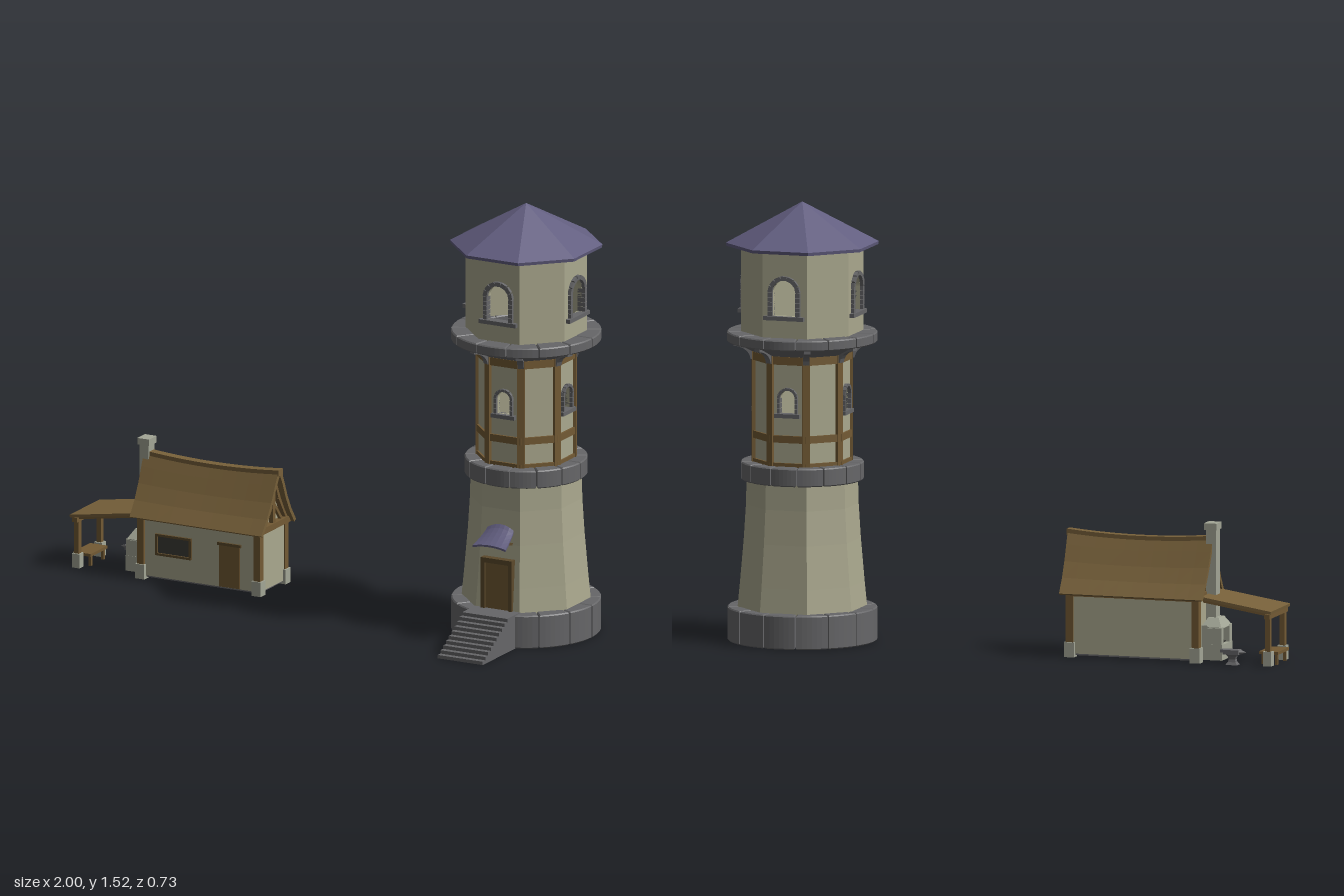
import * as THREE from 'three';

const mat = (color) => new THREE.MeshStandardMaterial({ color, flatShading: true, side: THREE.DoubleSide });
const plaster = mat(0xaaa88e), stone = mat(0x666668), wood = mat(0x735a34), darkWood = mat(0x5c4a2c);
const purple = mat(0x625e80), thatch = mat(0x78613a), paleStone = mat(0xa3a696), dark = mat(0x3c3c38);

function add(parent, name, geo, material, x = 0, y = 0, z = 0) {
  const m = new THREE.Mesh(geo, material);
  m.name = name;
  m.position.set(x, y, z);
  parent.add(m);
  return m;
}
// box given by its limits
function block(parent, name, material, x0, x1, y0, y1, z0, z1) {
  return add(parent, name, new THREE.BoxGeometry(x1 - x0, y1 - y0, z1 - z0), material, (x0 + x1) / 2, (y0 + y1) / 2, (z0 + z1) / 2);
}
// bar between two points in a plane of constant x
function bar(parent, name, material, x, y0, z0, y1, z1, w) {
  const m = add(parent, name, new THREE.BoxGeometry(w, Math.hypot(y1 - y0, z1 - z0), w), material, x, (y0 + y1) / 2, (z0 + z1) / 2);
  m.rotation.x = Math.atan2(z1 - z0, y1 - y0);
}
const v2 = (list) => list.map(([a, b]) => new THREE.Vector2(a, b));
const TAN = Math.tan(Math.PI / 8), COS = Math.cos(Math.PI / 8);
// eight-sided turned body; profile is [apothem, y]
const octagon = (profile) => new THREE.LatheGeometry(v2(profile.map(([r, y]) => [r / COS, y])), 8, Math.PI / 8);

// ring of bevelled curved stones
function stoneRing(parent, name, n, rIn, rOut, y0, y1) {
  const ring = new THREE.Group(), b = 0.004, half = Math.PI / n - 0.006 / rOut;
  ring.name = name;
  const s = new THREE.Shape();
  s.absarc(0, 0, rOut - b, -half, half, false);
  s.absarc(0, 0, rIn, half, -half, true);
  const geo = new THREE.ExtrudeGeometry(s, { depth: y1 - y0 - 2 * b, bevelSize: b, bevelThickness: b, bevelSegments: 1, curveSegments: 3 });
  geo.rotateX(-Math.PI / 2);
  for (let i = 0; i < n; i++) add(ring, 'ringStone', geo, stone, 0, y0 + b, 0).rotation.y = ((i + 0.5) / n) * Math.PI * 2;
  parent.add(ring);
}

// arched outline: half width w, from sill to spring line
function arch(path, w, sill, spring) {
  path.moveTo(-w, sill);
  path.lineTo(w, sill);
  path.lineTo(w, spring);
  path.absarc(0, spring, w, 0, Math.PI, false);
  path.lineTo(-w, sill);
  return path;
}

// eight wall panels, every second one with an arched window
function windowStorey(parent, name, a, y0, y1, win) {
  const storey = new THREE.Group(), t = 0.016, hw = a * TAN;
  storey.name = name;
  for (let i = 0; i < 8; i++) {
    const side = new THREE.Group();
    side.name = 'wallSide';
    side.rotation.y = i * Math.PI / 4;
    const s = new THREE.Shape(v2([[-hw, y0], [hw, y0], [hw, y1], [-hw, y1]]));
    if (i % 2 === 0) {
      const { w, sill, spring, f, n } = win;
      s.holes.push(arch(new THREE.Path(), w, sill, spring));
      block(side, 'windowSill', stone, -w - f * 2, w + f * 2, sill - 0.014, sill, a - t, a + 0.016);
      const h = (spring - sill) / n;
      for (const k of [-1, 1]) for (let j = 0; j < n; j++)
        add(side, 'jambStone', new THREE.BoxGeometry(f, h * 0.9, t + 0.012), stone, k * (w + f / 2), sill + (j + 0.5) * h, a - 0.002);
      for (let j = 0; j < 7; j++) {
        const g = (j + 0.5) * Math.PI / 7, r = w + f / 2;
        add(side, 'archStone', new THREE.BoxGeometry(f, r * 0.43, t + 0.012), stone, r * Math.cos(g), spring + r * Math.sin(g), a - 0.002).rotation.z = g;
      }
    }
    add(side, 'wallPanel', new THREE.ExtrudeGeometry(s, { depth: t, bevelEnabled: false, curveSegments: 10 }), plaster, 0, 0, a - t);
    storey.add(side);
  }
  parent.add(storey);
}

function buildTower() {
  const t = new THREE.Group();
  t.name = 'tower';
  // foot and tapered lower storey
  stoneRing(t, 'baseRing', 14, 0.185, 0.257, 0, 0.117);
  add(t, 'lowerWall', octagon([[0.207, 0.1], [0.198, 0.2], [0.186, 0.35], [0.179, 0.47], [0.176, 0.6]]), plaster);
  add(t, 'groundFloor', octagon([[0, 0.1], [0.205, 0.1]]), plaster);
  stoneRing(t, 'middleRing', 14, 0.14, 0.211, 0.557, 0.62);
  // timbered middle storey
  const a = 0.155;
  windowStorey(t, 'middleStorey', a, 0.6, 1.03, { w: 0.027, sill: 0.803, spring: 0.857, f: 0.009, n: 3 });
  for (let i = 0; i < 8; i++) {
    const side = new THREE.Group();
    side.name = 'timberSide';
    side.rotation.y = i * Math.PI / 4;
    for (const [y0, y1] of [[0.617, 0.632], [0.702, 0.727], [0.972, 1.0]])
      block(side, 'timberRail', wood, -a * TAN, a * TAN, y0, y1, a - 0.01, a + 0.007);
    const corner = new THREE.Group();
    corner.name = 'timberCorner';
    corner.rotation.y = Math.PI / 8;
    block(corner, 'timberPost', wood, -0.013, 0.013, 0.61, 1.01, a / COS - 0.018, a / COS + 0.006);
    // curved stone bracket below the gallery
    const s = new THREE.Shape();
    s.moveTo(0.15, 0.975);
    s.lineTo(0.178, 0.975);
    s.quadraticCurveTo(0.185, 1.015, 0.238, 1.022);
    s.lineTo(0.238, 1.04);
    s.lineTo(0.15, 1.04);
    const geo = new THREE.ExtrudeGeometry(s, { depth: 0.022, bevelEnabled: false, curveSegments: 5 });
    geo.translate(0, 0, -0.011).rotateY(-Math.PI / 2);
    add(corner, 'galleryBracket', geo, stone);
    side.add(corner);
    t.add(side);
  }
  // gallery and top storey
  add(t, 'galleryFlare', octagon([[0.157, 0.998], [0.175, 1.008], [0.2, 1.022], [0.228, 1.036]]), stone);
  stoneRing(t, 'galleryRing', 14, 0.18, 0.258, 1.034, 1.07);
  add(t, 'galleryFloor', octagon([[0, 1.05], [0.195, 1.05]]), stone);
  windowStorey(t, 'topStorey', 0.194, 1.06, 1.37, { w: 0.042, sill: 1.146, spring: 1.228, f: 0.015, n: 5 });
  add(t, 'towerRoof', octagon([[0, 1.366], [0.241, 1.366], [0.243, 1.377], [0, 1.517]]), purple);
  // door, canopy and stairs
  block(t, 'door', wood, -0.047, 0.047, 0.117, 0.285, 0.15, 0.207);
  for (const k of [-1, 1]) {
    add(t, 'doorPost', new THREE.BoxGeometry(0.014, 0.18, 0.05), darkWood, k * 0.053, 0.207, 0.19);
    bar(t, 'canopyBracket', darkWood, k * 0.045, 0.352, 0.18, 0.365, 0.24, 0.008);
  }
  block(t, 'doorLintel', darkWood, -0.06, 0.06, 0.283, 0.3, 0.165, 0.215);
  const canopy = new THREE.BoxGeometry(2, 0.007, 1, 6, 1, 5), p = canopy.attributes.position;
  for (let i = 0; i < p.count; i++) {
    const u = p.getX(i), v = p.getZ(i) + 0.5;
    p.setXYZ(i, u * (0.05 + 0.014 * v), p.getY(i) + 0.421 - 0.062 * Math.pow(v, 0.75) - 0.016 * u * u * (1 - 0.5 * v), 0.175 + 0.09 * v);
  }
  add(t, 'doorCanopy', canopy, purple);
  const steps = 10, run = 0.195 / steps;
  for (let i = 0; i < steps; i++)
    block(t, 'stairStep', stone, -0.088, 0.088, 0, 0.12 * (i + 1) / steps, i === steps - 1 ? 0.19 : 0.472 - (i + 1) * run, 0.472 - i * run);
  t.position.set(0.738, 0, -0.105);
  return t;
}

// long body running along x, sagging towards the middle in its upper part
function sagging(geo, half) {
  const p = geo.attributes.position;
  for (let i = 0; i < p.count; i++) {
    const u = p.getX(i) / half, k = THREE.MathUtils.clamp((p.getY(i) - 0.22) / 0.2, 0, 1);
    p.setY(i, p.getY(i) - 0.013 * k * (1 - u * u));
    p.setX(i, p.getX(i) * (1 + 0.02 * k));
  }
  return geo;
}

function buildHouse() {
  const h = new THREE.Group();
  h.name = 'cottage';
  const L = 0.257;
  block(h, 'walls', plaster, -0.235, 0.235, 0.012, 0.235, -0.095, 0.095);
  block(h, 'floorSlab', stone, -0.23, 0.23, 0.006, 0.014, -0.09, 0.09);
  // roof shell with concave slopes
  const outer = [[0.125, 0.222], [0.088, 0.272], [0.058, 0.325], [0.033, 0.38], [0.012, 0.425]];
  const inner = [[0.112, 0.216], [0.076, 0.265], [0.046, 0.318], [0.021, 0.373], [0, 0.41]];
  const mirror = (pts) => pts.map(([z, y]) => [-z, y]);
  const shell = v2([...outer, ...mirror(outer).reverse(), ...mirror(inner).slice(0, 4), ...[...inner].reverse()]);
  const roofPart = (len, steps, pts) => new THREE.ExtrudeGeometry(new THREE.Shape(pts), { depth: len, steps, bevelEnabled: false }).translate(0, 0, -len / 2).rotateY(Math.PI / 2);
  add(h, 'roof', sagging(roofPart(2 * L, 10, shell), L), thatch);
  add(h, 'ridgeBeam', sagging(new THREE.BoxGeometry(0.52, 0.022, 0.032, 10).translate(0, 0.42, 0), L), thatch);
  const gable = v2([...inner.slice(0, 4).map(([z, y]) => [z - 0.01, y]), ...mirror(inner.slice(0, 4)).map(([z, y]) => [z + 0.01, y]).reverse()]);
  add(h, 'gableWalls', roofPart(0.44, 1, gable), plaster);
  for (const k of [-1, 1]) {
    // gable timbers
    const x = k * 0.232;
    block(h, 'tieBeam', wood, x - 0.012, x + 0.012, 0.216, 0.238, -0.112, 0.112);
    block(h, 'kingPost', wood, x - 0.008, x + 0.008, 0.235, 0.395, -0.008, 0.008);
    for (const s of [-1, 1]) {
      bar(h, 'gableRafter', wood, x, 0.23, s * 0.096, 0.32, s * 0.038, 0.015);
      bar(h, 'gableRafter', wood, x, 0.32, s * 0.038, 0.4, s * 0.005, 0.015);
      bar(h, 'gableBrace', wood, x, 0.238, s * 0.06, 0.31, 0, 0.011);
      // corner posts on footings
      const cx = k * 0.227, cz = s * 0.09;
      block(h, 'cornerPost', wood, cx - 0.013, cx + 0.013, 0.04, 0.222, cz - 0.013, cz + 0.013);
      block(h, 'postFooting', paleStone, cx - 0.018, cx + 0.018, 0, 0.052, cz - 0.018, cz + 0.018);
    }
  }
  for (const s of [-1, 1]) block(h, 'wallPlate', wood, -0.24, 0.24, 0.212, 0.228, s * 0.095 - 0.01, s * 0.095 + 0.01);
  // front door and window
  block(h, 'door', wood, 0.078, 0.158, 0.014, 0.166, 0.09, 0.1);
  block(h, 'doorLintel', darkWood, 0.072, 0.164, 0.162, 0.172, 0.09, 0.103);
  block(h, 'windowPane', dark, -0.165, -0.035, 0.1, 0.162, 0.09, 0.097);
  for (const y of [0.096, 0.164]) block(h, 'windowRail', darkWood, -0.17, -0.03, y - 0.004, y + 0.004, 0.09, 0.104);
  for (const x of [-0.166, -0.034]) block(h, 'windowStile', darkWood, x - 0.004, x + 0.004, 0.096, 0.164, 0.09, 0.103);
  h.position.set(-0.488, 0, -0.11);
  return h;
}

function buildWorkshop() {
  const w = new THREE.Group();
  w.name = 'workshop';
  // lean-to roof and supports
  const slope = Math.atan2(0.04, 0.25);
  add(w, 'leanToRoof', new THREE.BoxGeometry(0.255, 0.01, 0.212), thatch, -0.862, 0.206, 0.002).rotation.z = slope;
  for (const z of [-0.08, 0.08]) {
    add(w, 'leanToRafter', new THREE.BoxGeometry(0.245, 0.012, 0.014), wood, -0.86, 0.196, z).rotation.z = slope;
    block(w, 'leanToPost', wood, -0.981, -0.963, 0.04, 0.18, z - 0.009, z + 0.009);
    block(w, 'postFooting', paleStone, -0.987, -0.957, 0, 0.05, z - 0.015, z + 0.015);
  }
  block(w, 'leanToBeam', wood, -0.983, -0.963, 0.164, 0.18, -0.1, 0.1);
  // hearth with chimney
  block(w, 'hearthBase', paleStone, -0.797, -0.72, 0.006, 0.06, -0.058, 0.058);
  block(w, 'hearthBack', paleStone, -0.745, -0.72, 0.05, 0.125, -0.058, 0.058);
  for (const s of [-1, 1]) block(w, 'hearthCheek', paleStone, -0.795, -0.72, 0.055, 0.12, s * 0.045 - 0.012, s * 0.045 + 0.012);
  block(w, 'hearthFire', dark, -0.782, -0.74, 0.055, 0.065, -0.035, 0.035);
  const hood = new THREE.CylinderGeometry(0.5, 1, 1, 4, 1, false, Math.PI / 4);
  hood.scale(0.076 / Math.SQRT2, 0.034, 0.116 / Math.SQRT2);
  add(w, 'hearthHood', hood, paleStone, -0.757, 0.133, 0);
  block(w, 'chimney', paleStone, -0.763, -0.727, 0.12, 0.46, -0.022, 0.022);
  block(w, 'chimneyCap', paleStone, -0.768, -0.722, 0.452, 0.475, -0.027, 0.027);
  // anvil
  const anvil = new THREE.Group();
  anvil.name = 'anvil';
  const body = new THREE.CylinderGeometry(1, 1, 1, 4, 4, false, Math.PI / 4), p = body.attributes.position;
  for (let i = 0; i < p.count; i++) {
    const k = p.getY(i) * 2, r = 0.55 + 0.45 * k * k;
    p.setXYZ(i, p.getX(i) * 0.03 * r, (k + 1) * 0.019, p.getZ(i) * 0.023 * r);
  }
  add(anvil, 'anvilBody', body, stone);
  block(anvil, 'anvilFace', stone, -0.026, 0.03, 0.036, 0.052, -0.018, 0.018);
  add(anvil, 'anvilHorn', new THREE.ConeGeometry(0.012, 0.03, 6), stone, -0.036, 0.044, 0).rotation.z = Math.PI / 2;
  block(anvil, 'anvilHeel', stone, 0.028, 0.042, 0.042, 0.052, -0.013, 0.013);
  anvil.position.set(-0.846, 0, -0.09);
  w.add(anvil);
  // bench
  block(w, 'benchSeat', wood, -1, -0.932, 0.036, 0.046, -0.06, 0.06);
  for (const x of [-0.99, -0.942]) for (const z of [-0.045, 0.045]) block(w, 'benchLeg', wood, x - 0.005, x + 0.005, 0, 0.038, z - 0.005, z + 0.005);
  w.position.z = -0.11;
  return w;
}

export function createModel() {
  const model = new THREE.Group();
  model.name = 'towerAndCottage';
  model.add(buildTower(), buildHouse(), buildWorkshop());
  return model;
}
